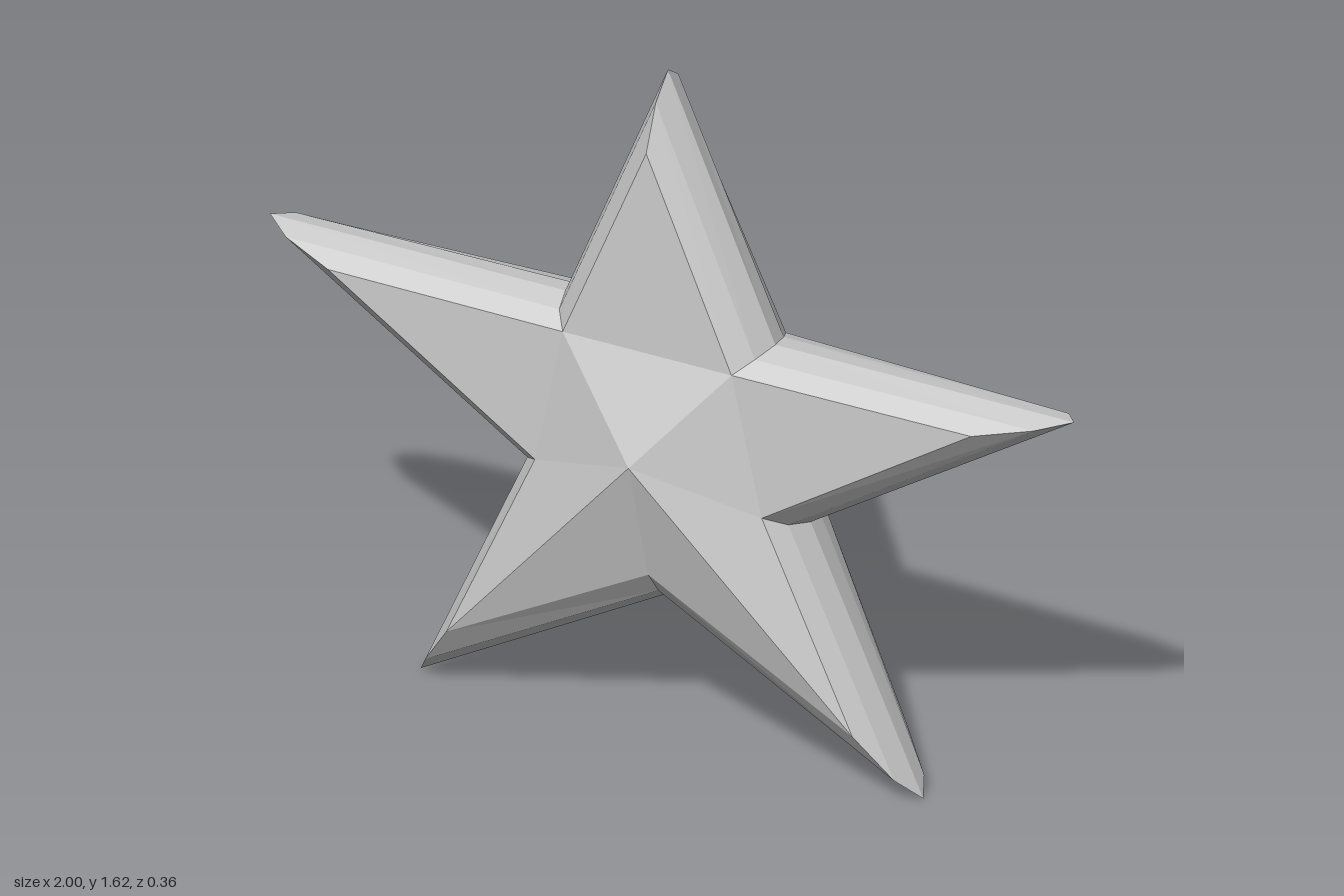
import * as THREE from 'three';

// Outline, counter-clockwise from the top tip: tips and inner corners alternate.
const OUTER = [
  [-0.01, 1.62], [-0.265, 1.015], [-1, 1.015], [-0.35, 0.605], [-0.625, 0],
  [0, 0.345], [0.625, 0], [0.345, 0.605], [1, 1.015], [0.257, 1.015],
];
// Outline of the front face, inside the bevel.
const INSET = [
  [-0.008, 1.46], [-0.213, 0.975], [-0.8, 0.975], [-0.282, 0.645], [-0.505, 0.165],
  [0, 0.435], [0.505, 0.165], [0.282, 0.645], [0.8, 0.975], [0.207, 0.975],
];
// Rounded rim from front to back: inset and depth of tips, then of inner corners.
const LEVELS = [
  [1, 0.085, 1, 0.09], [0.35, 0.04, 0.35, 0.045], [0, -0.015, 0, -0.015],
  [0.19, -0.06, 0.2, -0.07], [0.74, -0.1, 0.65, -0.12],
];
const N = OUTER.length;

function ring([tipInset, tipZ, innerInset, innerZ]) {
  return OUTER.map(([x, y], i) => {
    const t = i % 2 ? innerInset : tipInset;
    return [
      x + (INSET[i][0] - x) * t,
      y + (INSET[i][1] - y) * t,
      i % 2 ? innerZ : tipZ,
    ];
  });
}

function makeMesh(name, triangles, material) {
  const geometry = new THREE.BufferGeometry();
  geometry.setAttribute('position', new THREE.Float32BufferAttribute(triangles.flat(2), 3));
  geometry.computeVertexNormals();
  const mesh = new THREE.Mesh(geometry, material);
  mesh.name = name;
  return mesh;
}

// Raised face: each arm is creased along its length (ridged) or across its root.
function faceTriangles(points, centre, ridgedArms, reverse) {
  const triangles = [];
  for (let arm = 0; arm < N / 2; arm++) {
    const tip = points[arm * 2];
    const before = points[(arm * 2 + N - 1) % N];
    const after = points[arm * 2 + 1];
    if (ridgedArms.includes(arm)) triangles.push([centre, before, tip], [centre, tip, after]);
    else triangles.push([centre, before, after], [before, tip, after]);
  }
  return reverse ? triangles.map(([a, b, c]) => [a, c, b]) : triangles;
}

export function createModel() {
  const group = new THREE.Group();
  group.name = 'star';
  const material = new THREE.MeshStandardMaterial({ color: 0xcccccc, flatShading: true });
  const rings = LEVELS.map(ring);

  // Bevelled rim joining the two faces
  const rim = [];
  for (let k = 0; k < rings.length - 1; k++) {
    for (let i = 0; i < N; i++) {
      const j = (i + 1) % N;
      const [a, b] = [rings[k], rings[k + 1]];
      rim.push([a[i], b[i], b[j]], [a[i], b[j], a[j]]);
    }
  }
  group.add(makeMesh('rim', rim, material));

  // Faces rising to a central point
  group.add(makeMesh('frontFace', faceTriangles(rings[0], [0, 0.735, 0.178], [2, 3], false), material));
  group.add(makeMesh('backFace', faceTriangles(rings[rings.length - 1], [0, 0.735, -0.178], [2], true), material));
  return group;
}
